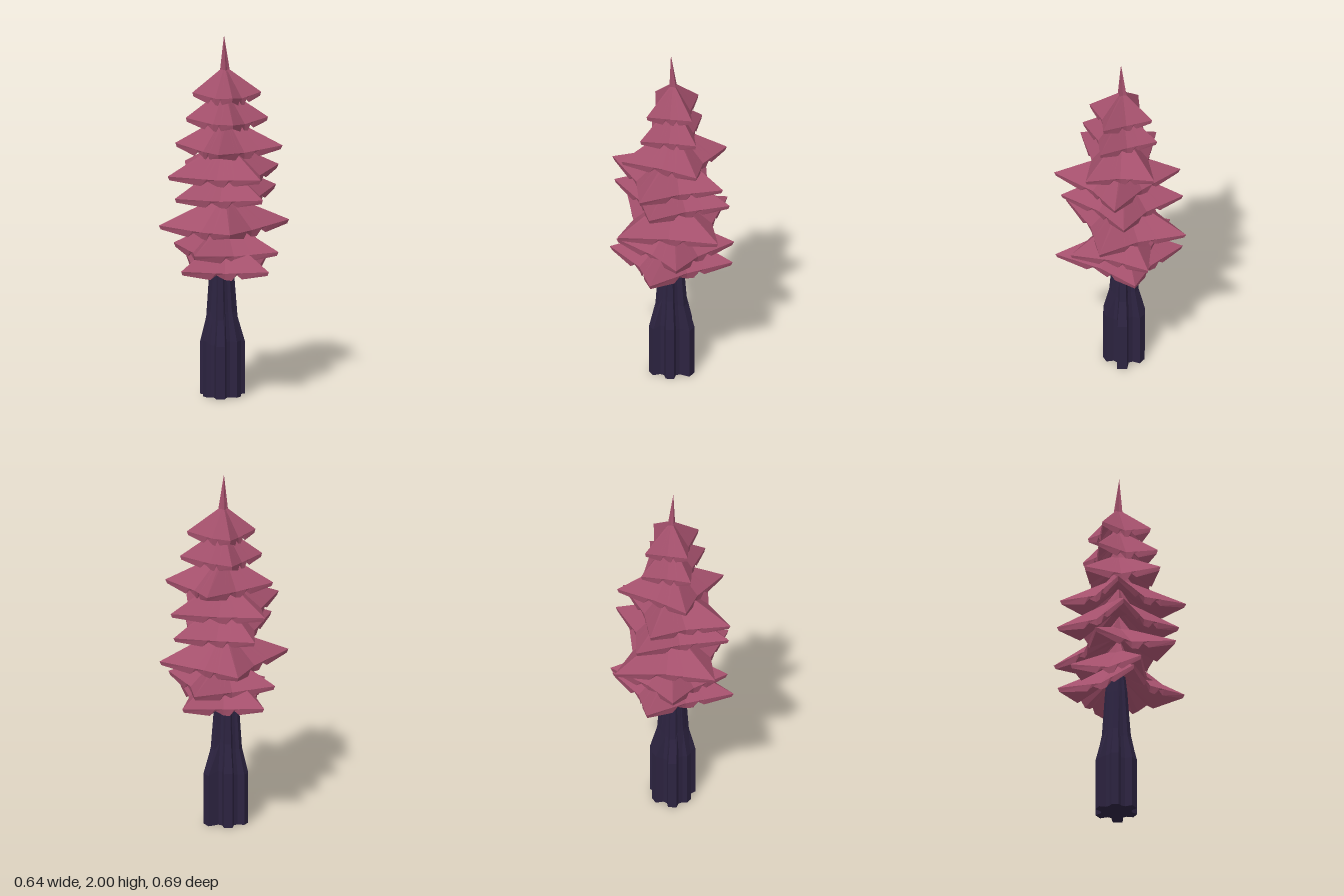
import * as THREE from 'three';

// Flat-shaded skin through closed rings of [x, y, z] points
function loft(rings) {
  const pos = [];
  const n = rings[0].length;
  for (let r = 0; r < rings.length - 1; r++) {
    for (let i = 0; i < n; i++) {
      const j = (i + 1) % n;
      const a = rings[r][i], b = rings[r][j], c = rings[r + 1][i], d = rings[r + 1][j];
      pos.push(...a, ...c, ...b, ...c, ...d, ...b);
    }
  }
  const geo = new THREE.BufferGeometry();
  geo.setAttribute('position', new THREE.Float32BufferAttribute(pos, 3));
  geo.computeVertexNormals();
  return geo;
}

// Star outline: straight edges from tips to sagging valleys, with small notches beside each valley
function starOutline(tips) {
  const out = [];
  tips.forEach((a, k) => {
    const b = tips[(k + 1) % tips.length];
    const valley = [(a[0] + b[0]) * 0.39, (a[1] + b[1]) * 0.39];
    // t runs from the tip to the valley; drop is the rim thickness there
    const add = (tip, t, drop) => out.push({
      x: tip[0] + (valley[0] - tip[0]) * t,
      z: tip[1] + (valley[1] - tip[1]) * t,
      sag: 0.022 * t,
      drop,
    });
    add(a, 0, 0.022);
    add(a, 0.6, 0.036);
    add(a, 0.72, 0.012);
    add(a, 0.84, 0.042);
    add(a, 1, 0.036);
    add(b, 0.8, 0.012);
    add(b, 0.66, 0.04);
  });
  return out;
}

// One whorl of branches: hollow underside, thin ragged rim, sloping top and peak
function tier({ y, tips, neck = 0.2, rise = 0.13, peak = 0.22 }) {
  const star = starOutline(tips);
  const inner = (s, h) => star.map(p => [p.x * s, y + h, p.z * s]);
  const rimBottom = star.map(p => [p.x * 0.97, y - p.sag - p.drop, p.z * 0.97]);
  const rimTop = star.map(p => [p.x, y - p.sag, p.z]);
  const apex = star.map(() => [0, y + peak, 0.012]);
  return loft([inner(0, 0.09), inner(0.2, 0.07), rimBottom, rimTop, inner(neck, rise), apex]);
}

// Trunk cross-section: six uneven lobes with grooves between them
const lobeRadii = [0.14, 0.118, 0.122, 0.102, 0.118, 0.122];
function trunkRing(y, outer, groove, stagger = 0) {
  const ring = [];
  lobeRadii.forEach((radius, k) => {
    [-11, 11, 22, 38].forEach((offset, i) => {
      const a = THREE.MathUtils.degToRad(k * 60 - 45 + offset);
      const r = i < 2 ? radius * outer : groove;
      ring.push([-0.02 + r * Math.cos(a), y + stagger * (k % 2), 0.01 + r * Math.sin(a)]);
    });
  });
  return ring;
}

export function createModel() {
  const foliage = new THREE.MeshStandardMaterial({ color: 0xa4506c, flatShading: true });
  foliage.name = 'rose foliage';
  const bark = new THREE.MeshStandardMaterial({ color: 0x2c2340, flatShading: true });
  bark.name = 'dark bark';

  const group = new THREE.Group();
  group.name = 'tree';

  // Branch tiers, top to bottom; tips are [x, z] in order of angle
  const tiers = [
    { y: 1.68, neck: 0.14, rise: 0.125, peak: 0.32,
      tips: [[-0.075, -0.16], [0.19, -0.06], [0.09, 0.17], [-0.165, 0.06]] },
    { y: 1.54, tips: [[-0.09, -0.185], [0.225, -0.075], [0.105, 0.21], [-0.2, 0.07]] },
    { y: 1.39, tips: [[0.025, -0.295], [0.312, -0.055], [0.045, 0.3], [-0.27, 0.03]] },
    { y: 1.252, tips: [[-0.27, -0.17], [0.245, -0.22], [0.272, 0.255], [-0.245, 0.28]] },
    { y: 1.13, tips: [[-0.23, -0.24], [0.218, -0.265], [0.27, 0.2], [-0.205, 0.28]] },
    { y: 0.957, tips: [[-0.16, -0.345], [0.317, -0.175], [0.122, 0.342], [-0.322, 0.18]] },
    { y: 0.82, tips: [[0.09, -0.32], [0.32, 0.06], [-0.09, 0.295], [-0.3, -0.05]] },
    { y: 0.735, tips: [[-0.27, -0.19], [0.162, -0.295], [0.305, 0.205], [-0.16, 0.315]] },
  ];
  tiers.forEach((t, i) => {
    const mesh = new THREE.Mesh(tier(t), foliage);
    mesh.name = `branchTier${i + 1}`;
    group.add(mesh);
  });

  // Fluted trunk: straight lobed base, then a taper into the foliage
  const trunk = new THREE.Mesh(loft([
    trunkRing(0, 0, 0),
    trunkRing(0, 1, 0.085),
    trunkRing(0.29, 1, 0.085, 0.02),
    trunkRing(0.43, 0.7, 0.068, 0.04),
    trunkRing(0.7, 0.54, 0.055),
    trunkRing(0.82, 0.42, 0.045),
    trunkRing(0.82, 0, 0),
  ]), bark);
  trunk.name = 'trunk';
  group.add(trunk);

  return group;
}
